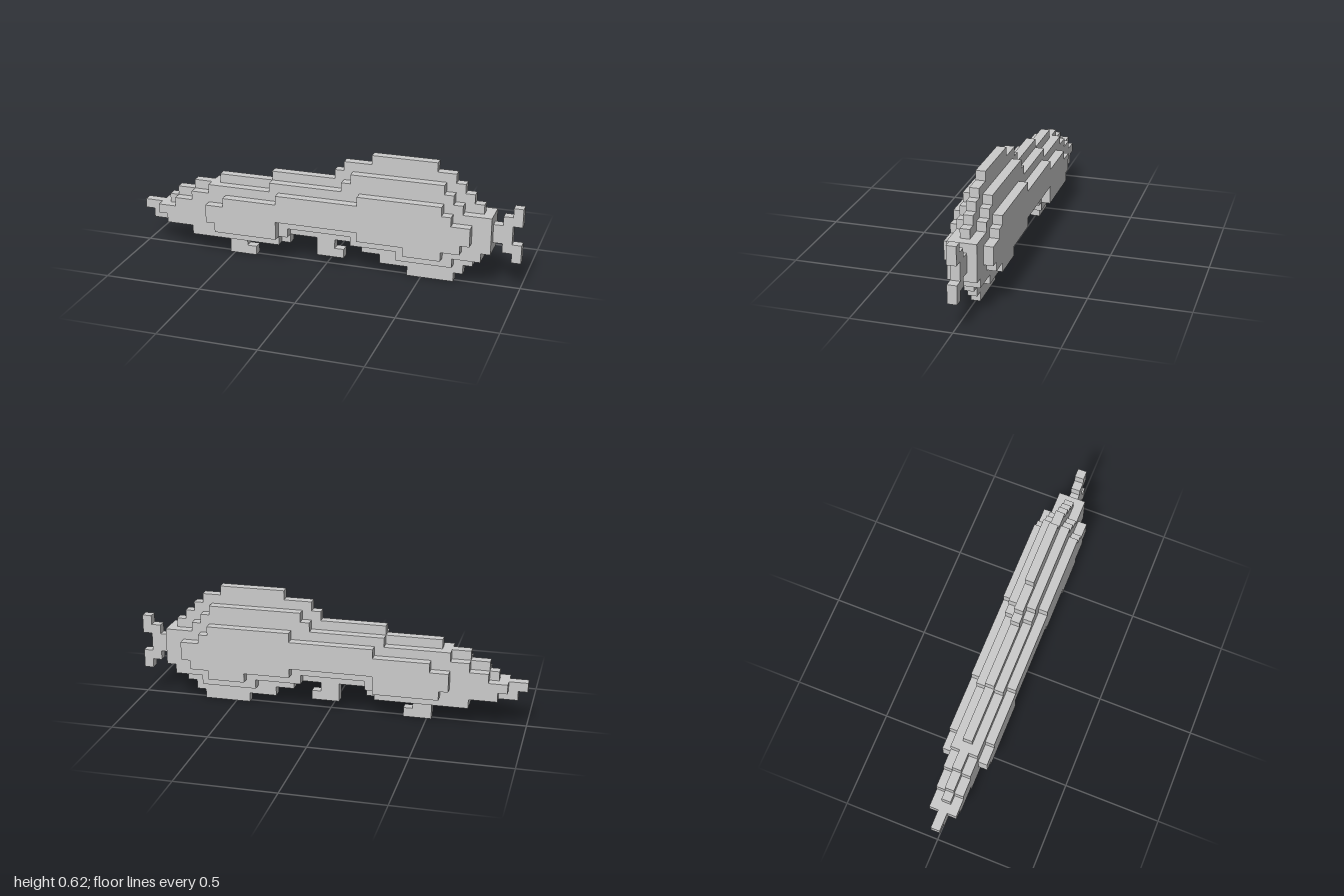
import * as THREE from 'three';

const U = 2 / 42; // size of one block

// Stepped slab: one [start, end] span per block row, from row y0 upwards
function slab(name, y0, rows, depth, material) {
  const right = [], left = [];
  rows.forEach(([a, b], i) => {
    const y = y0 + i;
    right.push([b, y], [b, y + 1]);
    left.unshift([a, y + 1], [a, y]);
  });
  const points = [...right, ...left].map(([x, y]) => new THREE.Vector2((x - 21) * U, y * U));
  const geometry = new THREE.ExtrudeGeometry(new THREE.Shape(points), { depth: depth * U, bevelEnabled: false });
  geometry.translate(0, 0, -depth * U / 2);
  const mesh = new THREE.Mesh(geometry, material);
  mesh.name = name;
  return mesh;
}

export function createModel() {
  const model = new THREE.Group();
  model.name = 'blockFish';
  const material = new THREE.MeshStandardMaterial({ color: 0xcccccc, flatShading: true });
  const add = (name, y0, rows, depth) => model.add(slab(name, y0, rows, depth, material));

  // Thin central layer: full side outline
  add('bodyCore', 3, [[1, 38], [0, 39], [3, 39], [4, 39], [6, 39], [9, 38], [15, 37], [22, 36], [23, 35], [26, 33]], 1);
  add('coreBelly', 0, [[30, 35], [27, 36], [25, 37]], 1);
  add('coreChest', 2, [[6, 17]], 1);

  // Middle layer
  add('bodyMiddle', 4, [[2, 39], [4, 39], [6, 39], [8, 39], [15, 36], [23, 35], [24, 34]], 3);
  add('middleChest', 2, [[6, 16], [3, 17]], 3);
  add('middleBelly', 2, [[29, 35], [24, 38]], 3);

  // Widest layer: the flanks
  add('flanks', 5, [[8, 37], [10, 37], [16, 35], [25, 34]], 5);
  add('flankChest', 3, [[9, 16], [8, 16]], 5);
  add('flankBelly', 3, [[30, 34], [25, 36]], 5);

  // Small hooked fins under the body
  add('frontFin', 0, [[10, 13], [10, 12]], 1);
  add('middleFin', 1, [[20, 23], [20, 22]], 1);

  // Forked tail
  add('tail', 3, [[41, 42], [40, 42], [39, 41], [39, 41], [40, 42], [41, 42]], 1);

  return model;
}
